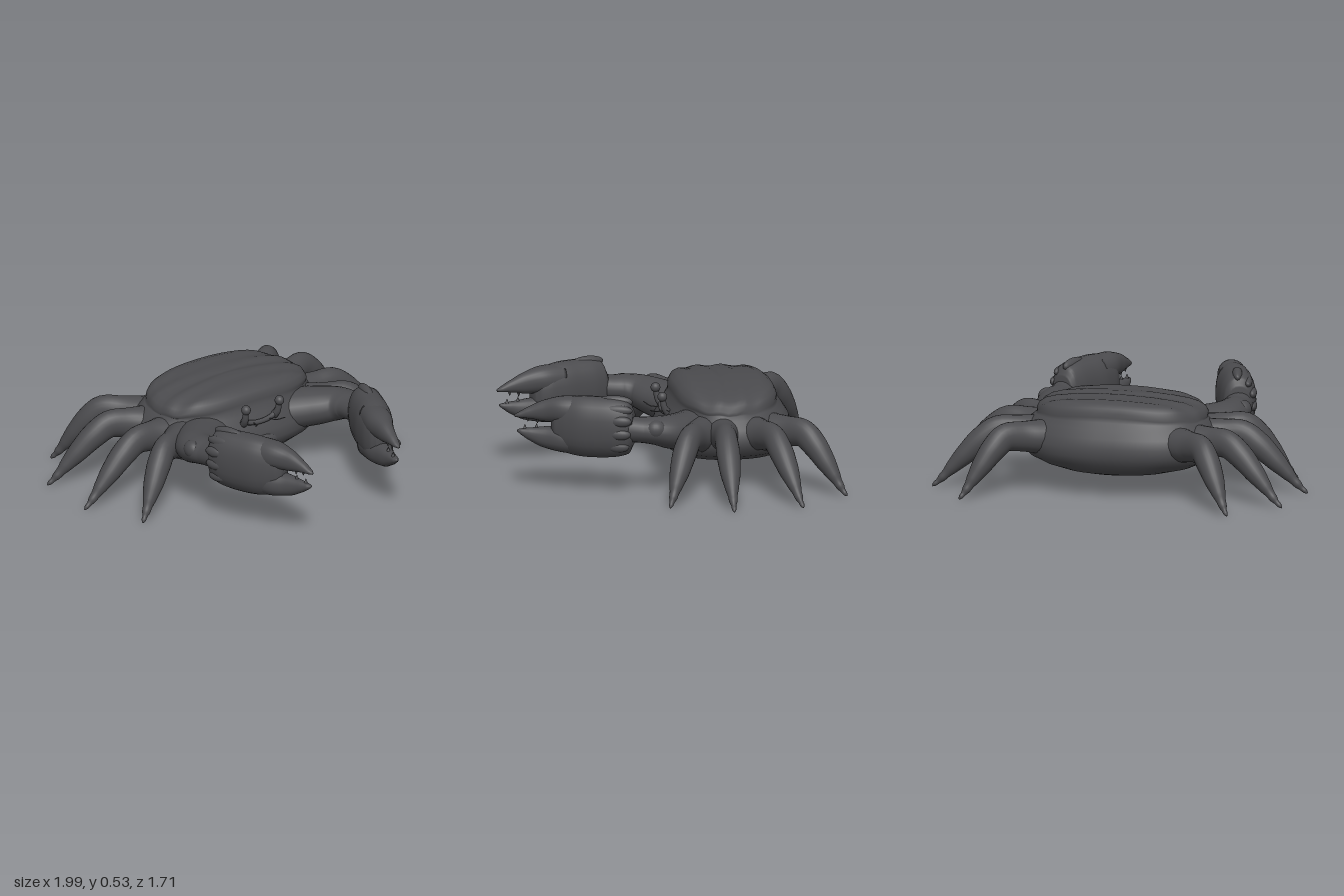
import * as THREE from 'three';

const shellGrey = new THREE.MeshStandardMaterial({ color: 0x4b4b4e });
shellGrey.name = 'shell grey';

// Skins closed rings of points and closes both ends, always facing outward.
function skin(rings) {
  const n = rings[0].length, pos = [], idx = [];
  rings.forEach(r => r.forEach(p => pos.push(p.x, p.y, p.z)));
  for (let i = 0; i < rings.length - 1; i++) {
    for (let j = 0; j < n; j++) {
      const a = i * n + j, b = i * n + (j + 1) % n;
      idx.push(a, b, a + n, b, b + n, a + n);
    }
  }
  [0, rings.length - 1].forEach((r, end) => {
    const c = new THREE.Vector3();
    rings[r].forEach(p => c.addScaledVector(p, 1 / n));
    const k = pos.push(c.x, c.y, c.z) / 3 - 1;
    for (let j = 0; j < n; j++) {
      const a = r * n + j, b = r * n + (j + 1) % n;
      if (end) idx.push(a, b, k); else idx.push(b, a, k);
    }
  });
  const at = i => new THREE.Vector3().fromArray(pos, i * 3);
  let volume = 0;
  for (let i = 0; i < idx.length; i += 3) {
    volume += at(idx[i]).dot(at(idx[i + 1]).cross(at(idx[i + 2])));
  }
  if (volume < 0) idx.reverse();
  const g = new THREE.BufferGeometry();
  g.setAttribute('position', new THREE.Float32BufferAttribute(pos, 3));
  g.setIndex(idx);
  g.computeVertexNormals();
  return g;
}

const power = (v, e) => Math.sign(v) * Math.pow(Math.abs(v), e);

// Limb through stations [x, y, z, half width, half height]; s mirrors it in x.
function limb(stations, s, steps = 30, n = 2) {
  const path = new THREE.CatmullRomCurve3(stations.map(p => new THREE.Vector3(p[0] * s, p[1], p[2])));
  const size = new THREE.CatmullRomCurve3(stations.map(p => new THREE.Vector3(p[3], p[4], 0)), false, 'catmullrom', 0.4);
  const rings = [];
  for (let i = 0; i <= steps; i++) {
    const c = path.getPoint(i / steps), r = size.getPoint(i / steps);
    const t = path.getTangent(i / steps);
    const side = new THREE.Vector3().crossVectors(t, new THREE.Vector3(0, 1, 0)).normalize();
    const up = new THREE.Vector3().crossVectors(side, t);
    const ring = [];
    for (let j = 0; j < 24; j++) {
      const a = j / 24 * Math.PI * 2;
      ring.push(c.clone()
        .addScaledVector(side, power(Math.cos(a), 2 / n) * r.x)
        .addScaledVector(up, power(Math.sin(a), 2 / n) * r.y));
    }
    rings.push(ring);
  }
  return skin(rings);
}

// Carapace: levels [y, half width, front z, back z], with a domed, grooved top
function carapace() {
  const levels = [
    [0.11, 0.1, -0.22, -0.47], [0.115, 0.2, -0.13, -0.53], [0.128, 0.31, -0.05, -0.575],
    [0.15, 0.41, 0.0, -0.605], [0.185, 0.49, 0.035, -0.635], [0.23, 0.53, 0.05, -0.655],
    [0.28, 0.535, 0.04, -0.655], [0.33, 0.515, 0.015, -0.64], [0.375, 0.485, -0.01, -0.61],
    [0.41, 0.46, -0.03, -0.58], [0.44, 0.458, -0.035, -0.572], [0.465, 0.46, -0.038, -0.572],
    [0.49, 0.445, -0.052, -0.56], [0.506, 0.41, -0.08, -0.535], [0.513, 0.36, -0.12, -0.49],
    [0.515, 0.29, -0.165, -0.45], [0.516, 0.2, -0.21, -0.4], [0.516, 0.1, -0.26, -0.35],
    [0.516, 0.02, -0.29, -0.31],
  ];
  const rings = levels.map(([y, w, f, b]) => {
    const top = THREE.MathUtils.smoothstep(y, 0.38, 0.46), ring = [];
    for (let j = 0; j < 96; j++) {
      const a = j / 96 * Math.PI * 2, n = 2.4 + 0.6 * top;
      const u = power(Math.cos(a), 2 / n), v = power(Math.sin(a), 2 / n);
      const z = (f + b) / 2 + v * (f - b) / 2;
      const x = u * w * (1 - 0.12 * top * Math.max(0, -v));
      const groove = 0.01 * (1 - Math.cos((z + 0.12 - 0.15 * x * x) / 0.125 * Math.PI * 2)) / 2;
      ring.push(new THREE.Vector3(x, y - top * (0.2 * x * x + groove), z));
    }
    return ring;
  });
  return skin(rings);
}

export function createModel() {
  const model = new THREE.Group();
  model.name = 'crab';
  const add = (name, geometry, parent = model) => {
    const m = new THREE.Mesh(geometry, shellGrey);
    m.name = name;
    parent.add(m);
    return m;
  };
  const blob = (name, parent, p, r) => {
    const m = add(name, new THREE.SphereGeometry(1, 20, 14), parent);
    m.position.set(...p);
    m.scale.set(...r);
    return m;
  };

  add('carapace', carapace());
  blob('mouthPlate', model, [0, 0.22, 0.0], [0.13, 0.06, 0.065]);

  // Brow ridge hanging between the eyes
  const brow = new THREE.CatmullRomCurve3([[-0.12, 0.37], [-0.08, 0.345], [0, 0.335], [0.08, 0.345], [0.12, 0.37]]
    .map(([x, y]) => new THREE.Vector3(x, y, 0.018 - x * x)));
  add('brow', new THREE.TubeGeometry(brow, 24, 0.014, 8));

  // Legs: root, knee and tip on the ground plan
  const legs = [
    [[0.38, -0.14], [0.6, -0.03], [0.85, 0.115]],
    [[0.38, -0.24], [0.64, -0.22], [0.995, -0.205]],
    [[0.38, -0.38], [0.63, -0.475], [0.96, -0.58]],
    [[0.34, -0.47], [0.54, -0.65], [0.735, -0.85]],
  ];
  // Along each leg: span (0 root, 1 knee, 2 tip), height, half width, half height
  const legShape = [
    [0, 0.29, 0.11, 0.1], [0.35, 0.3, 0.088, 0.088], [0.65, 0.308, 0.066, 0.08],
    [1, 0.31, 0.06, 0.076], [1.25, 0.258, 0.063, 0.068], [1.5, 0.178, 0.054, 0.054],
    [1.7, 0.108, 0.036, 0.036], [1.79, 0.075, 0.025, 0.025], [1.85, 0.054, 0.022, 0.022],
    [1.91, 0.034, 0.013, 0.014], [1.96, 0.02, 0.012, 0.012], [2, 0.009, 0.004, 0.004],
  ];

  // Claw parts, written for the left side
  const arm = [
    [0.26, 0.29, -0.12, 0.14, 0.11], [0.385, 0.31, -0.02, 0.125, 0.1], [0.465, 0.33, 0.065, 0.108, 0.088],
    [0.485, 0.345, 0.14, 0.095, 0.075], [0.482, 0.35, 0.21, 0.08, 0.068], [0.48, 0.36, 0.3, 0.07, 0.07],
  ];
  const palm = [
    [0.487, 0.362, 0.25, 0.06, 0.09], [0.478, 0.362, 0.275, 0.08, 0.14], [0.456, 0.362, 0.34, 0.096, 0.158],
    [0.424, 0.36, 0.42, 0.1, 0.163], [0.388, 0.36, 0.5, 0.1, 0.163], [0.35, 0.36, 0.58, 0.084, 0.15],
    [0.33, 0.36, 0.635, 0.06, 0.11], [0.32, 0.36, 0.66, 0.03, 0.05],
  ];
  const upperFinger = [
    [0.375, 0.43, 0.5, 0.075, 0.085], [0.345, 0.442, 0.6, 0.074, 0.074], [0.314, 0.433, 0.7, 0.046, 0.057],
    [0.296, 0.42, 0.785, 0.028, 0.03], [0.288, 0.41, 0.83, 0.019, 0.015], [0.284, 0.405, 0.855, 0.007, 0.006],
  ];
  const lowerFinger = [
    [0.375, 0.285, 0.48, 0.075, 0.085], [0.345, 0.283, 0.6, 0.074, 0.07], [0.314, 0.292, 0.7, 0.046, 0.056],
    [0.296, 0.309, 0.78, 0.028, 0.032], [0.288, 0.32, 0.82, 0.019, 0.016], [0.284, 0.326, 0.84, 0.007, 0.006],
  ];

  for (const s of [1, -1]) {
    const label = s > 0 ? 'left' : 'right';

    legs.forEach(([root, knee, tip], i) => {
      const stations = legShape.map(([t, y, w, h]) => {
        const [a, b] = t < 1 ? [root, knee] : [knee, tip], k = t < 1 ? t : t - 1;
        return [a[0] + (b[0] - a[0]) * k, y, a[1] + (b[1] - a[1]) * k, w, h];
      });
      add(label + 'Leg' + (i + 1), limb(stations, s, 44));
    });

    const claw = new THREE.Group();
    claw.name = label + 'Claw';
    model.add(claw);
    add('arm', limb(arm, s), claw);
    add('palm', limb(palm, s, 36, 2.3), claw);
    add('upperFinger', limb(upperFinger, s, 30, 2.2), claw);
    add('lowerFinger', limb(lowerFinger, s, 30, 2.2), claw);

    // Knobs on the back of the palm and the wrist
    blob('topRidge', claw, [0.45 * s, 0.5, 0.345], [0.028, 0.034, 0.095]).rotation.y = -0.3 * s;
    blob('outerRidge', claw, [0.505 * s, 0.465, 0.35], [0.026, 0.03, 0.09]).rotation.y = -0.3 * s;
    for (const [x, y, z] of [[0.535, 0.41, 0.33], [0.535, 0.34, 0.335], [0.52, 0.27, 0.34]]) {
      blob('knuckle', claw, [x * s, y, z], [0.026, 0.03, 0.06]).rotation.y = -0.3 * s;
    }
    blob('wristKnob', claw, [0.54 * s, 0.36, 0.14], [0.045, 0.05, 0.055]);

    // Small teeth along the gap of the claw
    for (const [x, y, z, dir] of [[0.293, 0.385, 0.785, -1], [0.303, 0.376, 0.735, -1], [0.288, 0.345, 0.8, 1], [0.302, 0.35, 0.74, 1]]) {
      const tooth = add('tooth', new THREE.ConeGeometry(0.012, 0.03, 10), claw);
      tooth.position.set(x * s, y, z);
      if (dir < 0) tooth.rotation.z = Math.PI;
    }

    // Stalked eye and feeler
    const stalk = [[0.1, 0.34, 0.0, 0.022, 0.022], [0.107, 0.37, 0.022, 0.018, 0.018], [0.11, 0.425, 0.034, 0.014, 0.014]];
    add(label + 'EyeStalk', limb(stalk, s, 10));
    blob(label + 'Eye', model, [0.11 * s, 0.433, 0.035], [0.025, 0.026, 0.026]);
    const feeler = new THREE.CatmullRomCurve3([[0.05, 0.34, 0.02], [0.065, 0.345, 0.07], [0.1, 0.36, 0.1]]
      .map(p => new THREE.Vector3(p[0] * s, p[1], p[2])));
    add(label + 'Feeler', new THREE.TubeGeometry(feeler, 12, 0.003, 6));
  }
  return model;
}
